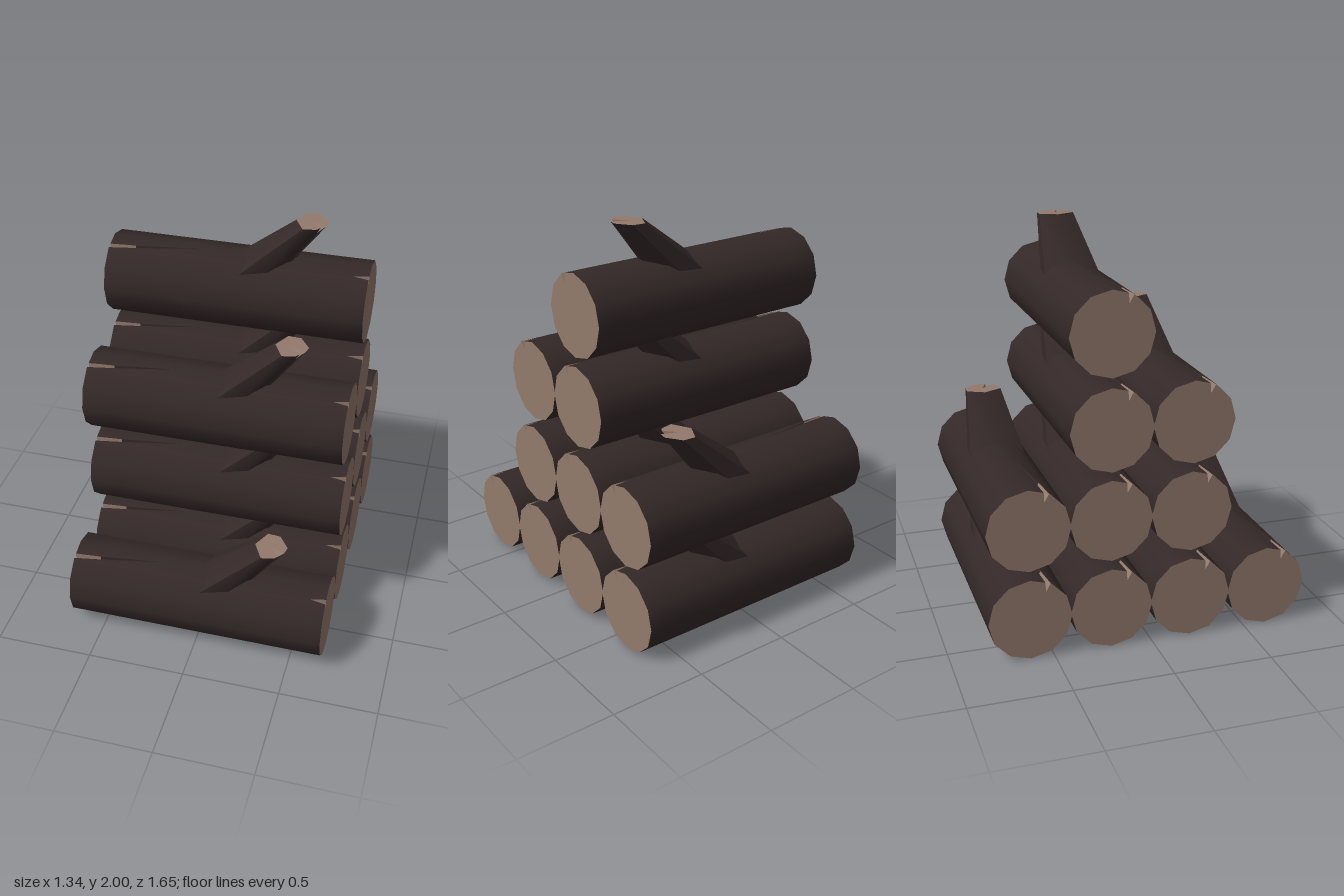
import * as THREE from 'three';
import { toCreasedNormals } from 'three/addons/utils/BufferGeometryUtils.js';

const bark = new THREE.MeshStandardMaterial({ color: 0x342828 });
const wood = new THREE.MeshStandardMaterial({ color: 0x937a6c });
bark.name = 'dark bark';
wood.name = 'cut wood';

const R = 0.208;

// Adds the strip of quads between two rings; pick(i) chooses the triangle list.
function loft(a, b, pick) {
  a.forEach((p, i) => {
    const j = (i + 1) % a.length;
    pick(i).push(p, a[j], b[i], b[i], a[j], b[j]);
  });
}

// Closes a ring with a fan around a centre point.
function cap(ring, centre, list, flip) {
  ring.forEach((p, i) => {
    const q = ring[(i + 1) % ring.length];
    list.push(centre, flip ? q : p, flip ? p : q);
  });
}

function toGeometry(points, crease) {
  const g = new THREE.BufferGeometry().setFromPoints(points);
  return toCreasedNormals(g, crease);
}

// Twelve-sided log section at x, with a V-shaped crack of size t around z = zc.
function logRing(x, t, zc) {
  const at = (z, drop = 0) => new THREE.Vector3(x, R - z * 0.268 - drop, z);
  const ring = [new THREE.Vector3(x, R, 0), at(zc - 0.014 * t), at(zc - 0.012 * t, 0.05 * t), at(zc + 0.012 * t)];
  for (let i = 1; i < 12; i++) {
    const a = (i * Math.PI) / 6;
    ring.push(new THREE.Vector3(x, R * Math.cos(a), R * Math.sin(a)));
  }
  return ring;
}

function logGeometries() {
  const barkTris = [], woodTris = [];
  // x, crack size, crack position
  const rings = [
    [-0.664, 1, 0.09], [-0.53, 0.65, 0.077], [-0.2, 0, 0.035],
    [0.58, 0, 0.09], [0.66, 1, 0.09],
  ].map((s) => logRing(...s));
  for (let k = 0; k < 4; k++) {
    const open = k === 0 || k === 3;
    loft(rings[k], rings[k + 1], (i) => (open && (i === 1 || i === 2) ? woodTris : barkTris));
  }
  cap(rings[0], new THREE.Vector3(-0.664, 0, 0), woodTris, true);
  cap(rings[4], new THREE.Vector3(0.66, 0, 0), woodTris, false);
  return [toGeometry(barkTris, 0.7), toGeometry(woodTris, 0.5)];
}

// Slanted, tapering branch stub with a split in its sawn tip.
function branchGeometries() {
  const outline = [
    [-0.03, 0.093], [0.035, 0.08], [0.05, 0.058], [0.03, 0.035], [0.075, 0.03],
    [0.083, -0.01], [0.03, -0.085], [-0.035, -0.09], [-0.08, 0],
  ];
  const split = 3;
  const tip = outline.map(([x, z], i) => new THREE.Vector3(0.355 + x, i === split ? 0.365 : 0.405, z));
  const base = outline.map(([x, z], i) => {
    const s = i === split ? 2 : 1;
    return new THREE.Vector3(0.016 + x * 2.15 * s, 0.08, z * 1.68 * (i === split ? 1.25 : 1));
  });
  const barkTris = [], woodTris = [];
  loft(base, tip, () => barkTris);
  cap(tip, new THREE.Vector3(0.35, 0.405, 0), woodTris, false);
  return [toGeometry(barkTris, 0.95), toGeometry(woodTris, 0.5)];
}

export function createModel() {
  const model = new THREE.Group();
  model.name = 'logPile';
  const [logBark, logWood] = logGeometries();
  const [branchBark, branchWood] = branchGeometries();
  const parts = [
    ['logBark', logBark, bark], ['logCutWood', logWood, wood],
    ['branchBark', branchBark, bark], ['branchTip', branchWood, wood],
  ];

  // Columns of stacked logs: z position and number of logs
  const columns = [[0.615, 1], [0.205, 3], [-0.205, 4], [-0.615, 2]];
  for (const [z, count] of columns) {
    for (let row = 0; row < count; row++) {
      const log = new THREE.Group();
      log.name = 'log';
      for (const [name, geometry, material] of parts) {
        const mesh = new THREE.Mesh(geometry, material);
        mesh.name = name;
        log.add(mesh);
      }
      log.position.set(row > 1 ? -0.008 : 0.004, R + row * 0.4623, z);
      model.add(log);
    }
  }
  return model;
}
